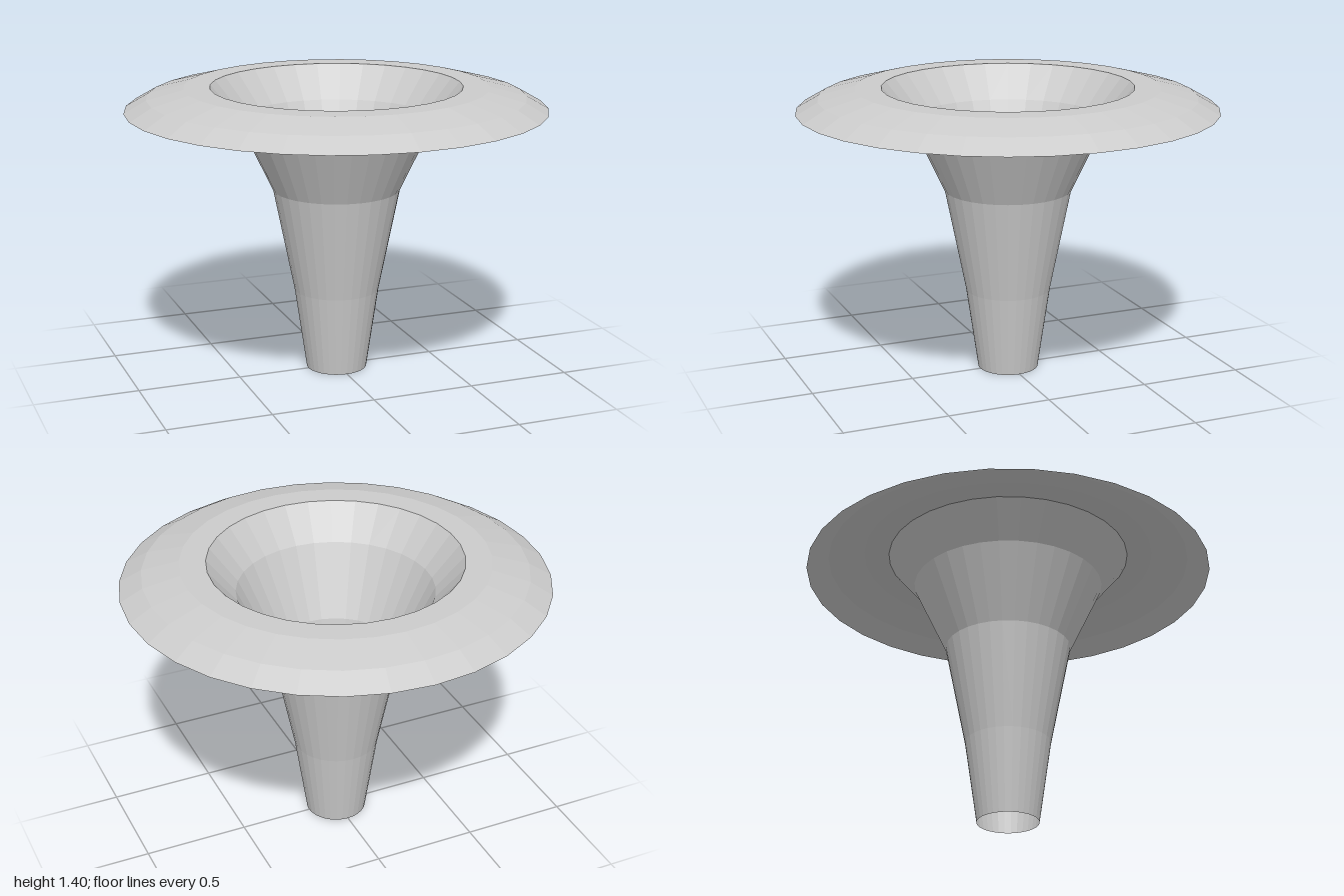
import * as THREE from 'three';

const SEGMENTS = 32;

// Thin open surface of revolution from [radius, height] pairs
function lathePart(name, profile, material) {
  const points = profile.map(([r, y]) => new THREE.Vector2(r, y));
  const mesh = new THREE.Mesh(new THREE.LatheGeometry(points, SEGMENTS), material);
  mesh.name = name;
  return mesh;
}

export function createModel() {
  const group = new THREE.Group();
  group.name = 'flaredFunnel';
  const material = new THREE.MeshStandardMaterial({
    color: 0xcccccc, flatShading: true, side: THREE.DoubleSide,
  });

  // Tapered tube, open at the bottom, flaring into the mouth
  group.add(lathePart('funnelTube', [
    [0.147, 0], [0.205, 0.4], [0.305, 0.9], [0.465, 1.24], [0.597, 1.4],
  ], material));

  // Flat lip that turns down at its outer edge
  group.add(lathePart('rim', [
    [0.597, 1.4], [0.72, 1.4], [0.895, 1.355], [1, 1.295],
  ], material));

  return group;
}
